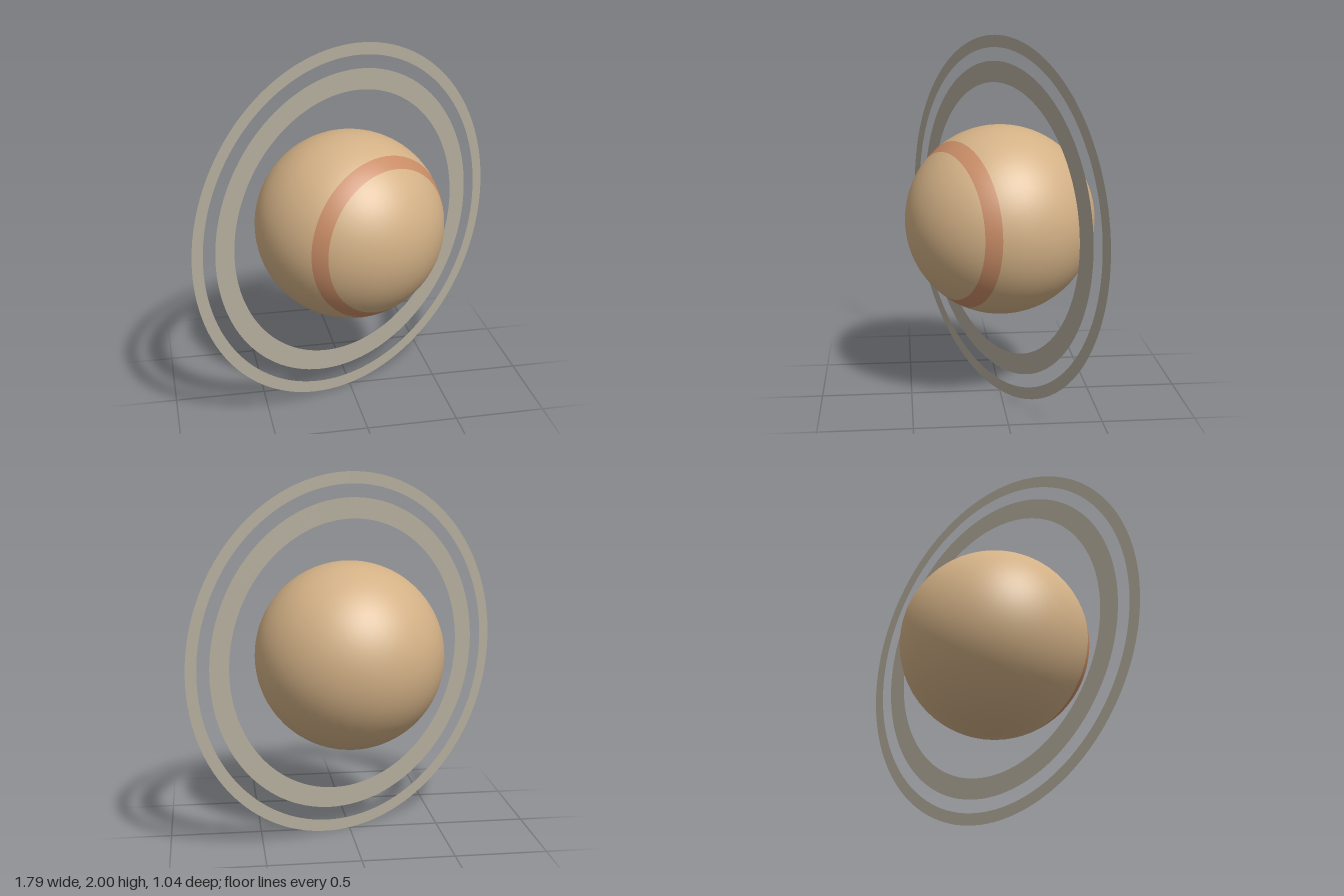
import * as THREE from 'three';

export function createModel() {
  const material = (name, color, side = THREE.FrontSide) => {
    const m = new THREE.MeshStandardMaterial({ color, side });
    m.name = name;
    return m;
  };
  const tan = material('tan', 0xd3b186);
  const rust = material('rust', 0xc88c66);
  const grey = material('ringGrey', 0xb3ac9c, THREE.DoubleSide);

  const model = new THREE.Group();
  model.name = 'ringedPlanet';

  // Everything shares one tilted axis, the local +z
  const tilted = new THREE.Group();
  tilted.name = 'tiltedPlanet';
  tilted.position.y = 1;
  tilted.rotation.y = THREE.MathUtils.degToRad(26.7);
  model.add(tilted);

  const add = (name, geometry, mat) => {
    const mesh = new THREE.Mesh(geometry, mat);
    mesh.name = name;
    tilted.add(mesh);
  };

  // Globe in three zones, angles measured from the front pole
  const zone = (name, from, to, mat) => {
    const start = THREE.MathUtils.degToRad(from);
    const length = THREE.MathUtils.degToRad(to - from);
    const rows = Math.ceil((to - from) / 5);
    const geometry = new THREE.SphereGeometry(0.52, 72, rows, 0, Math.PI * 2, start, length);
    add(name, geometry.rotateX(Math.PI / 2), mat);
  };
  zone('frontCap', 0, 50, tan);
  zone('stormBand', 50, 60, rust);
  zone('mainGlobe', 60, 180, tan);

  // Flat rings around the equator
  add('innerRing', new THREE.RingGeometry(0.748, 0.862, 128), grey);
  add('outerRing', new THREE.RingGeometry(0.935, 1, 128), grey);

  return model;
}
